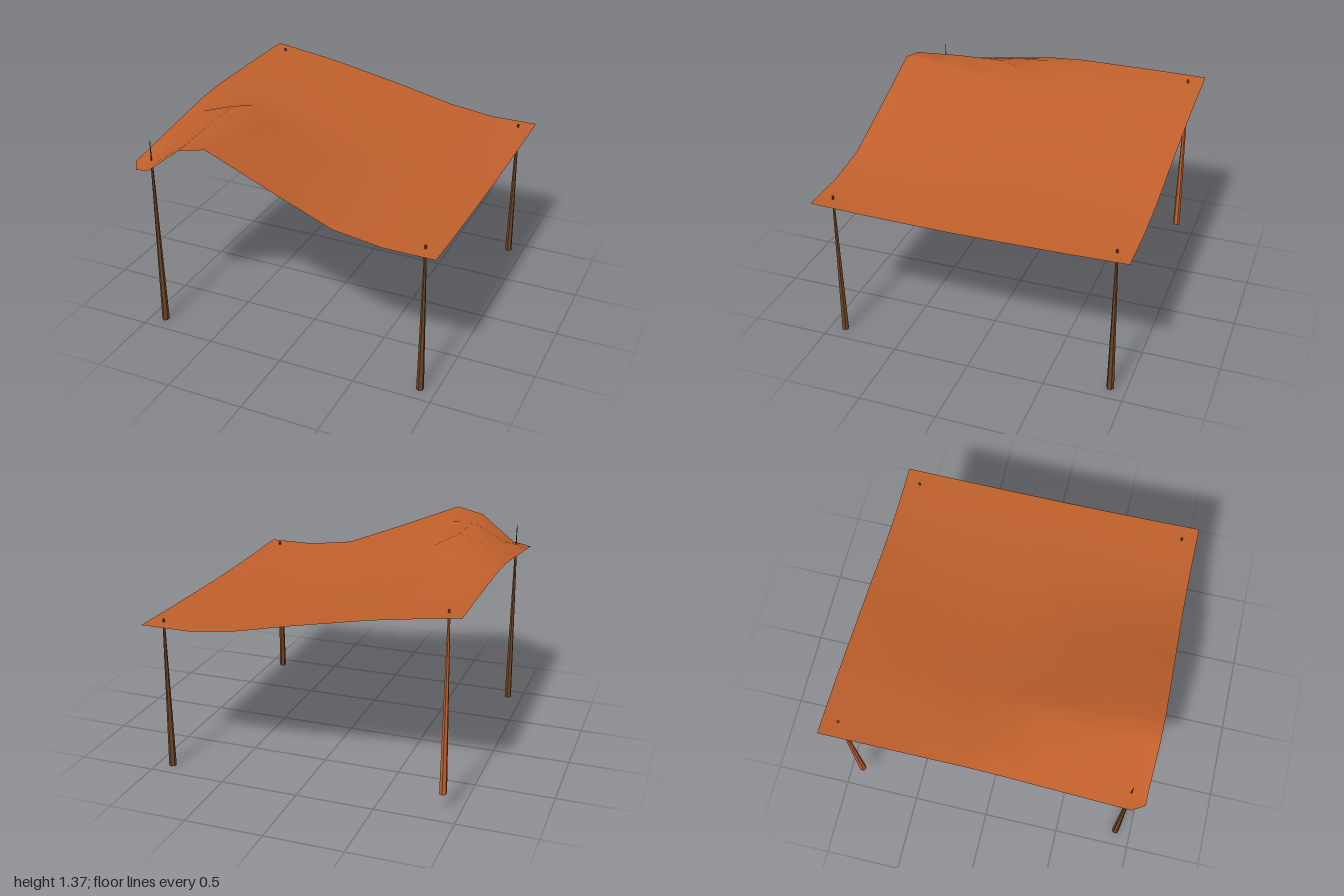
import * as THREE from 'three';

export function createModel() {
  const group = new THREE.Group();
  const cloth = new THREE.MeshStandardMaterial({ color: 0xc0602c, side: THREE.DoubleSide });
  const wood = new THREE.MeshStandardMaterial({ color: 0x6e4527, flatShading: true });
  const orangeWood = new THREE.MeshStandardMaterial({ color: 0xc0602c, flatShading: true });

  // Draped canopy: heights at the crossings of uneven grid lines
  const xs = [-1, -0.95, -0.86, -0.63, -0.45, 0, 0.37, 0.68, 1];
  const zs = [-1, -0.6, -0.1, 0.1, 0.35, 0.7, 0.92, 1];
  const heights = [
    [1.275, 1.27, 1.257, 1.225, 1.195, 1.106, 1.025, 0.985, 0.985],
    [1.28, 1.272, 1.257, 1.222, 1.187, 1.085, 1.015, 0.98, 0.975],
    [1.28, 1.283, 1.28, 1.237, 1.185, 1.072, 1.01, 0.975, 0.968],
    [1.267, 1.28, 1.3, 1.27, 1.2, 1.078, 1.01, 0.972, 0.967],
    [1.233, 1.25, 1.285, 1.36, 1.26, 1.1, 1.015, 0.972, 0.969],
    [1.183, 1.195, 1.23, 1.35, 1.335, 1.135, 1.022, 0.977, 0.975],
    [1.152, 1.15, 1.17, 1.335, 1.365, 1.168, 1.028, 0.983, 0.983],
    [1.142, 1.137, 1.15, 1.33, 1.37, 1.18, 1.03, 0.985, 0.985],
  ];
  const geo = new THREE.PlaneGeometry(2, 2, xs.length - 1, zs.length - 1).rotateX(-Math.PI / 2);
  const pos = geo.attributes.position;
  zs.forEach((z, r) => xs.forEach((x, c) => pos.setXYZ(r * xs.length + c, x, heights[r][c], z)));
  // Clipped front corner
  pos.setXYZ((zs.length - 1) * xs.length, -0.975, 1.142, 0.96);
  geo.computeVertexNormals();
  const canopy = new THREE.Mesh(geo, cloth);
  canopy.name = 'canopy';
  group.add(canopy);

  // Tapered corner poles
  function pole(name, x, z, y0, y1, material, rTop = 0.007, rBottom = 0.024) {
    const mesh = new THREE.Mesh(new THREE.CylinderGeometry(rTop, rBottom, y1 - y0, 6), material);
    mesh.position.set(x, (y0 + y1) / 2, z);
    mesh.name = name;
    group.add(mesh);
  }
  pole('frontLeftPole', 0.9, 0.9, 0, 1.005, wood);
  pole('backLeftPole', 0.9, -0.9, 0, 1.005, wood);
  pole('backRightPole', -0.9, -0.9, 0.13, 1.285, orangeWood);
  pole('frontRightPole', -0.9, 0.9, 0, 1.15, wood);
  // Thin tip poking through the lowered corner
  pole('frontRightPoleTip', -0.9, 0.9, 1.14, 1.3, wood, 0.002, 0.005);

  return group;
}
